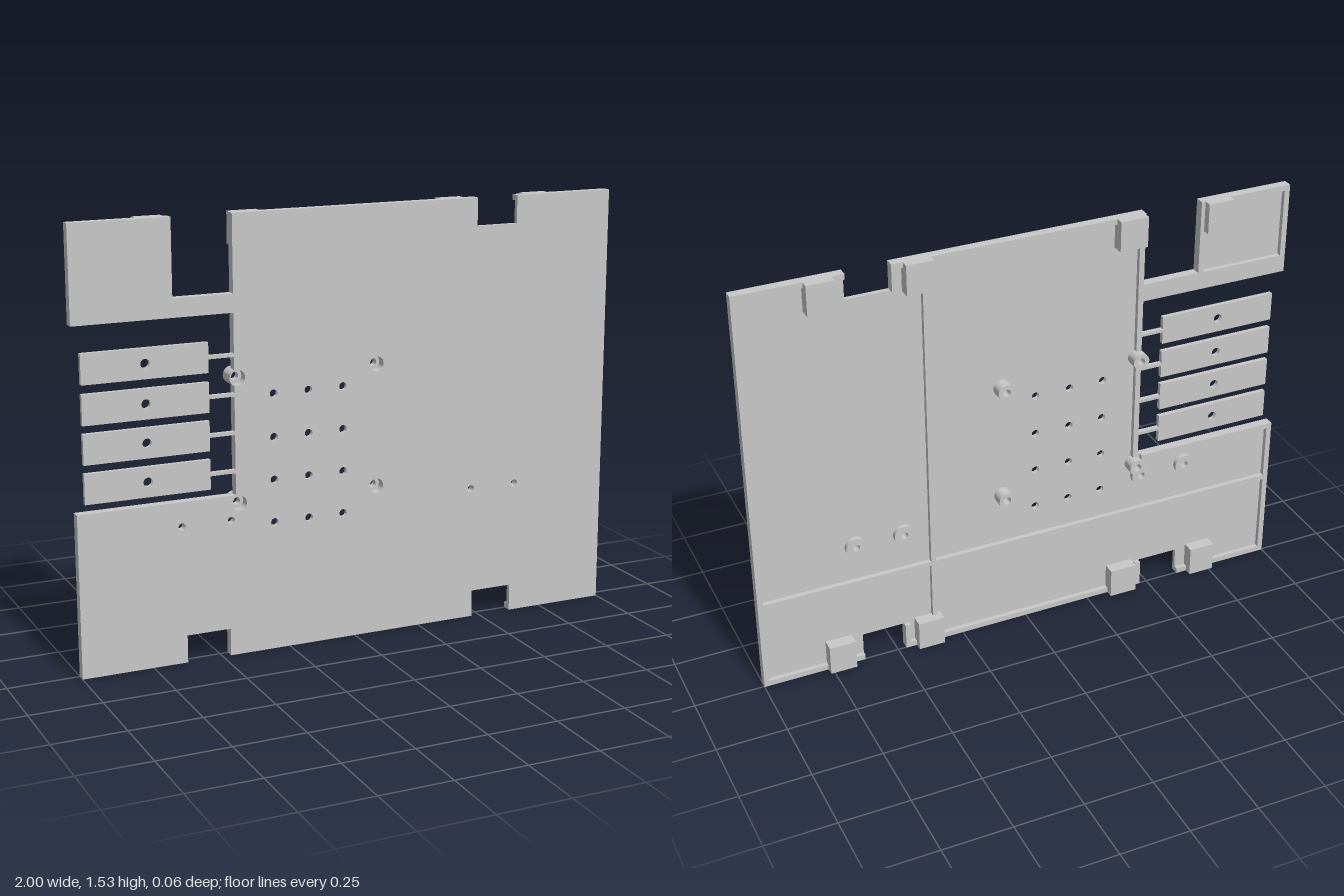
import * as THREE from 'three';
import { toCreasedNormals } from 'three/addons/utils/BufferGeometryUtils.js';

const FRONT = 0.031, SHEET = 0.014, RIM = -0.003, BACK = -0.031;
const TOP = 1.526;
const W = 0.02; // rim width

export function createModel() {
  const root = new THREE.Group();
  root.name = 'mountingPanel';
  const grey = new THREE.MeshStandardMaterial({ color: 0xc8c8c8 });
  grey.name = 'light grey plastic';

  function add(name, geometry) {
    const mesh = new THREE.Mesh(geometry, grey);
    mesh.name = name;
    root.add(mesh);
    return mesh;
  }
  function box(name, x0, x1, y0, y1, z0, z1) {
    add(name, new THREE.BoxGeometry(x1 - x0, y1 - y0, z1 - z0))
      .position.set((x0 + x1) / 2, (y0 + y1) / 2, (z0 + z1) / 2);
  }
  function hole(shape, x, y, r) {
    const p = new THREE.Path();
    p.absarc(x, y, r, 0, Math.PI * 2, true);
    shape.holes.push(p);
  }
  function slab(name, shape, z0, z1) {
    const g = new THREE.ExtrudeGeometry(shape, { depth: z1 - z0, bevelEnabled: false, curveSegments: 12 });
    g.translate(0, 0, z0);
    add(name, toCreasedNormals(g, 0.6));
  }
  // Closed ring profile [radius, z], turned around the z axis
  function turned(name, profile, x, y) {
    const pts = [...profile, profile[0]].map(([r, z]) => new THREE.Vector2(r, z));
    const g = new THREE.LatheGeometry(pts, 24);
    g.rotateX(Math.PI / 2);
    add(name, toCreasedNormals(g, 0.6)).position.set(x, y, 0);
  }

  // Front sheet with its notches
  const sheet = new THREE.Shape();
  sheet.moveTo(-1, 0);
  [[-0.627, 0], [-0.627, 0.097], [-0.47, 0.097], [-0.47, 0],
    [0.469, 0], [0.469, 0.097], [0.625, 0.097], [0.625, 0],
    [1, 0], [1, TOP], [0.625, TOP], [0.625, 1.427], [0.469, 1.427], [0.469, TOP],
    [-0.443, TOP], [-0.443, 1.26], [-0.654, 1.26], [-0.654, TOP],
    [-1, TOP], [-1, 1.196], [-0.443, 1.196]].forEach(([x, y]) => sheet.lineTo(x, y));
  // One standoff breaks through the edge beside the keys
  const bite = Math.acos(-0.013 / 0.029);
  sheet.absarc(-0.43, 0.975, 0.029, bite, -bite, true);
  sheet.lineTo(-0.443, 0.57);
  sheet.lineTo(-1, 0.57);
  sheet.closePath();

  const standoffs = [[-0.43, 0.975], [0.083, 0.975], [-0.43, 0.54], [0.083, 0.54]];
  const screwXs = [-0.638, -0.461, 0.459, 0.636];
  standoffs.slice(1).forEach(([x, y]) => hole(sheet, x, y, 0.029));
  screwXs.forEach((x) => hole(sheet, x, 0.483, 0.013));
  for (const x of [-0.302, -0.174, -0.045])
    for (const y of [0.909, 0.758, 0.608, 0.457]) hole(sheet, x, y, 0.014);
  slab('frontSheet', sheet, SHEET, FRONT);

  // Raised rim and ribs on the back: x0, x1, y0, y1
  [
    [1 - W, 1, 0, TOP], [-1, -1 + W, 0, 0.57], [-1, -1 + W, 1.26, TOP],
    [-1 + W, -0.654, TOP - W, TOP], [-0.443, 0.469, TOP - W, TOP], [0.625, 1 - W, TOP - W, TOP],
    [-1 + W, -0.627, 0, W], [-0.47, 0.469, 0, W], [0.625, 1 - W, 0, W],
    [-1 + W, -0.459, 0.57 - W, 0.57],
    [-0.443, -0.443 + W, 0.568, 0.947], [-0.443, -0.443 + W, 1.003, TOP - W],
    [-0.654 - W, -0.654, 1.26, TOP - W],
    [0.469 - W, 0.469, 1.427, TOP - W], [0.469 - W, 0.469, W, 0.097],
    [-0.47, -0.47 + W, W, 0.097],
  ].forEach((r) => box('rim', ...r, RIM, SHEET));
  box('bridge', -1, -0.443, 1.196, 1.26, RIM, SHEET);
  box('verticalRib', 0.346, 0.364, W, TOP - W, RIM, SHEET);
  box('horizontalRib', -1 + W, 1 - W, 0.327, 0.345, RIM, SHEET);

  // Clip blocks along the top and bottom edges
  for (const [x0, x1] of [[-0.765, -0.668], [-0.438, -0.335], [0.332, 0.429], [0.667, 0.764]])
    for (const y of [0, TOP - 0.11]) box('clipBlock', x0, x1, y, y + 0.11, BACK, SHEET);

  // Sprung keys on thin arms
  for (const y of [1.053, 0.918, 0.786, 0.653]) {
    const key = new THREE.Shape();
    key.moveTo(-0.971, y - 0.052);
    key.lineTo(-0.533, y - 0.052);
    key.lineTo(-0.533, y + 0.052);
    key.lineTo(-0.971, y + 0.052);
    key.closePath();
    hole(key, -0.753, y, 0.016);
    slab('key', key, SHEET, FRONT);
    box('keyArm', -0.533, -0.443, y - 0.006, y + 0.006, SHEET, FRONT);
  }

  // Counterbored standoffs and flat screw bosses
  standoffs.forEach(([x, y]) => turned('standoff', [
    [0.03, BACK], [0.03, FRONT], [0.026, FRONT], [0.026, RIM], [0.014, RIM], [0.014, BACK],
  ], x, y));
  screwXs.forEach((x) => turned('screwBoss', [
    [0.037, RIM], [0.037, SHEET], [0.013, SHEET], [0.013, RIM],
  ], x, 0.483));

  return root;
}
